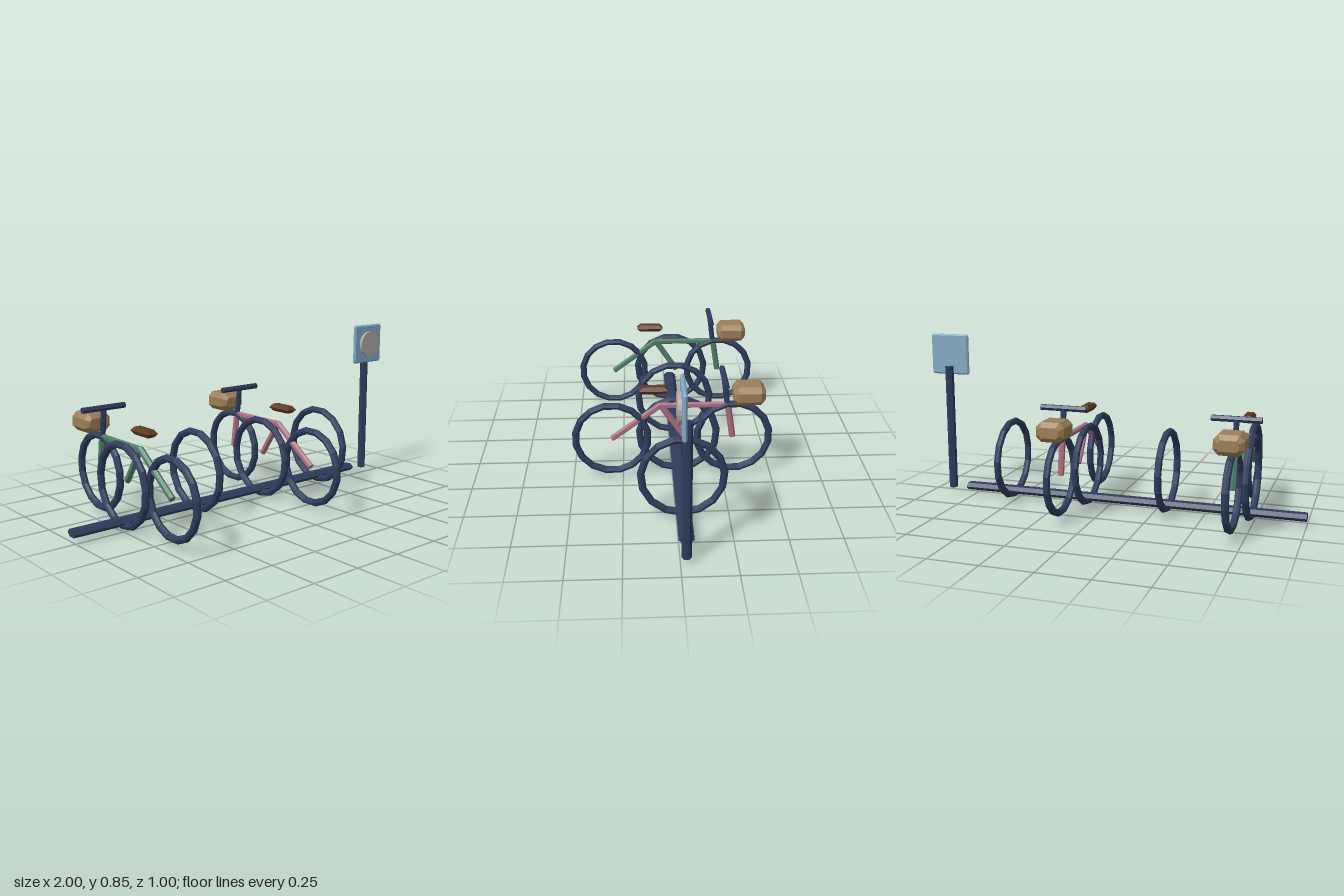
import * as THREE from 'three';

const mat = (color) => new THREE.MeshStandardMaterial({ color, flatShading: true });
const navy = mat(0x2f3b5c), pink = mat(0xad7080), green = mat(0x4f7f69);
const tan = mat(0x9c7f58), brown = mat(0x5e3a24), blue = mat(0x84aac4), grey = mat(0xada8a4);

function mesh(name, geometry, material, x = 0, y = 0, z = 0) {
  const m = new THREE.Mesh(geometry, material);
  m.name = name;
  m.position.set(x, y, z);
  return m;
}

// Straight six-sided bar between two points
function bar(name, a, b, radius, material) {
  const p = new THREE.Vector3(...a), q = new THREE.Vector3(...b);
  const d = q.clone().sub(p);
  const m = mesh(name, new THREE.CylinderGeometry(radius, radius, d.length(), 6), material);
  m.position.copy(p).add(q).multiplyScalar(0.5);
  m.quaternion.setFromUnitVectors(new THREE.Vector3(0, 1, 0), d.normalize());
  return m;
}

// Upright ring in the yz plane; turn places the first corner
function ring(name, outer, tube, segments, turn, x, y, z) {
  const g = new THREE.TorusGeometry(outer - tube, tube, 8, segments);
  g.rotateZ(turn).rotateY(Math.PI / 2);
  return mesh(name, g, navy, x, y, z);
}

// Block with cut corners, its bevelled depth running along z
function chamferedBlock(w, h, d, cut, bevel) {
  const x = w / 2 - bevel, y = h / 2 - bevel;
  const s = new THREE.Shape([
    [x - cut, -y], [x, -y + cut], [x, y - cut], [x - cut, y],
    [-x + cut, y], [-x, y - cut], [-x, -y + cut], [-x + cut, -y],
  ].map(([u, v]) => new THREE.Vector2(u, v)));
  const g = new THREE.ExtrudeGeometry(s, {
    depth: d - 2 * bevel, bevelSize: bevel, bevelThickness: bevel, bevelSegments: 1,
  });
  return g.translate(0, 0, -d / 2 + bevel);
}

function createBike(name, x, paint) {
  const bike = new THREE.Group();
  bike.name = name;
  bike.position.x = x;
  for (const [part, z] of [['rearWheel', 0.303], ['frontWheel', -0.303]]) {
    bike.add(ring(part, 0.2, 0.018, 16, Math.PI / 16, 0, 0.217, z));
  }
  // Frame
  bike.add(
    bar('rearStay', [0, 0.217, 0.303], [0, 0.4, 0.055], 0.016, paint),
    bar('seatTube', [0, 0.4, 0.06], [0, 0.22, -0.06], 0.016, paint),
    bar('topTube', [0, 0.395, 0.06], [0, 0.395, -0.275], 0.016, paint),
    bar('fork', [0, 0.405, -0.272], [0, 0.217, -0.3], 0.016, paint),
    bar('stem', [0, 0.4, -0.27], [0, 0.542, -0.252], 0.014, navy),
    bar('handlebar', [-0.117, 0.54, -0.252], [0.117, 0.54, -0.252], 0.015, navy),
  );
  // Saddle: widest at mid height
  const saddle = new THREE.BoxGeometry(0.054, 0.036, 0.144, 1, 2, 1);
  const p = saddle.attributes.position;
  for (let i = 0; i < p.count; i++) {
    if (Math.abs(p.getY(i)) > 0.01) {
      p.setX(i, p.getX(i) * 0.6);
      p.setZ(i, p.getZ(i) * 0.75);
    }
  }
  bike.add(mesh('saddle', saddle, brown, 0, 0.482, 0.092));
  bike.add(mesh('basket', chamferedBlock(0.142, 0.095, 0.155, 0.012, 0.022), tan, 0, 0.457, -0.375));
  return bike;
}

export function createModel() {
  const model = new THREE.Group();
  model.name = 'bikeRack';

  // Ground rail and the hoops standing on it
  const rail = new THREE.CylinderGeometry(0.036, 0.036, 1.79, 6);
  rail.rotateZ(Math.PI / 2).scale(1, 0.58, 1);
  model.add(mesh('rail', rail, navy, -0.105, 0.041, -0.034));
  for (let i = 0; i < 4; i++) {
    model.add(ring('rackHoop', 0.213, 0.018, 15, -Math.PI / 2, -0.73 + i * 0.42, 0.213, -0.03));
  }

  model.add(createBike('greenBike', -0.685, green), createBike('pinkBike', 0.155, pink));

  // Sign on its post
  model.add(bar('signPost', [0.89, 0.022, -0.028], [0.89, 0.682, -0.028], 0.022, navy));
  model.add(mesh('signBoard', chamferedBlock(0.212, 0.212, 0.02, 0.004, 0.007), blue, 0.89, 0.745, -0.01));
  const disc = new THREE.CylinderGeometry(0.07, 0.07, 0.02, 20).rotateX(Math.PI / 2);
  model.add(mesh('signDisc', disc, grey, 0.89, 0.745, 0.007));
  return model;
}
